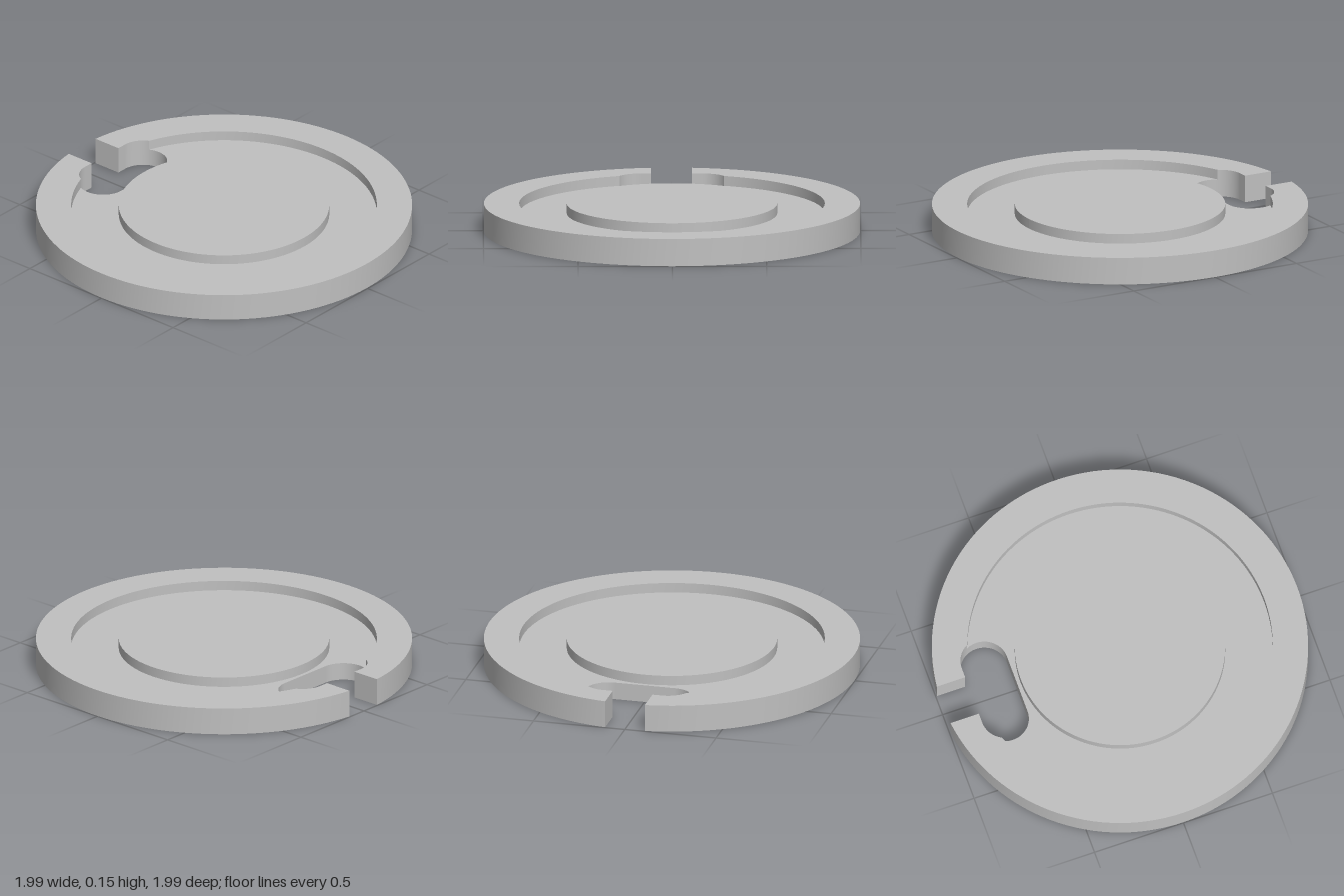
import * as THREE from 'three';

const TOP = 0.147, FLOOR = 0.094;          // rim height, recess floor height
const R = 0.997, RECESS = 0.81, ISLAND = 0.558;
const SLOT_IN = -0.5775, SLOT_OUT = -0.8316, CAP_Z = 0.163, GAP = 0.109;
const CAP_R = (SLOT_IN - SLOT_OUT) / 2, CAP_X = (SLOT_IN + SLOT_OUT) / 2;

const P = (x, y) => new THREE.Vector2(x, y);

function arc(cx, cy, r, a0, a1) {
  const n = Math.max(8, Math.ceil(Math.abs(a1 - a0) / (Math.PI * 2) * 128));
  return Array.from({ length: n + 1 }, (_, i) => {
    const a = a0 + (a1 - a0) * i / n;
    return P(cx + r * Math.cos(a), cy + r * Math.sin(a));
  });
}

// Join path pieces into one closed outline
const outline = (pieces) => new THREE.Shape(pieces.flatMap((p) => p.slice(0, -1)));

// Horizontal face at height y
function face(shape, y, down = false) {
  const g = new THREE.ShapeGeometry(shape);
  g.rotateX(down ? Math.PI / 2 : -Math.PI / 2);
  return g.translate(0, y, 0);
}

// Vertical wall along a path, facing to the right of its direction
function wall(points, y0, y1) {
  const pos = [], index = [];
  points.forEach((p, i) => {
    pos.push(p.x, y0, -p.y, p.x, y1, -p.y);
    if (i) {
      const a = 2 * i - 2, b = 2 * i;
      index.push(a, b, b + 1, a, b + 1, a + 1);
    }
  });
  const g = new THREE.BufferGeometry();
  g.setAttribute('position', new THREE.Float32BufferAttribute(pos, 3));
  g.setIndex(index);
  g.computeVertexNormals();
  return g;
}

export function createModel() {
  const model = new THREE.Group();
  model.name = 'slottedDisc';
  const grey = new THREE.MeshStandardMaterial({ color: 0xc0c0c0 });
  grey.name = 'grey';
  const add = (name, geometry) => {
    const m = new THREE.Mesh(geometry, grey);
    m.name = name;
    m.position.x = -0.003;
    model.add(m);
  };

  // Where the recess edge meets the rounded slot ends
  const d = Math.hypot(CAP_X, CAP_Z);
  const meet = Math.atan2(CAP_Z, CAP_X)
    - Math.acos((d * d + RECESS * RECESS - CAP_R * CAP_R) / (2 * d * RECESS));
  const t = Math.atan2(RECESS * Math.sin(meet) - CAP_Z, RECESS * Math.cos(meet) - CAP_X);
  const gapAngle = Math.PI - Math.asin(GAP / R);
  const gapX = R * Math.cos(gapAngle);

  // Path pieces, anticlockwise around the solid
  const outer = arc(0, 0, R, -gapAngle, gapAngle);
  const gapA = [P(gapX, GAP), P(SLOT_OUT, GAP)];
  const stepA = [P(SLOT_OUT, GAP), P(SLOT_OUT, CAP_Z)];
  const capOuterA = arc(CAP_X, CAP_Z, CAP_R, Math.PI, t);
  const capInnerA = arc(CAP_X, CAP_Z, CAP_R, t, 0);
  const slotSide = [P(SLOT_IN, CAP_Z), P(SLOT_IN, -CAP_Z)];
  const mirror = (p) => p.map((v) => P(v.x, -v.y)).reverse();
  const [gapB, stepB, capOuterB, capInnerB] = [gapA, stepA, capOuterA, capInnerA].map(mirror);
  const recess = arc(0, 0, RECESS, meet, -meet);
  const island = arc(0, 0, ISLAND, 0, Math.PI * 2);

  // Horizontal faces
  add('underside', face(outline([outer, gapA, stepA, capOuterA, capInnerA, slotSide,
    capInnerB, capOuterB, stepB, gapB]), 0, true));
  add('rimTop', face(outline([outer, gapA, stepA, capOuterA, recess,
    capOuterB, stepB, gapB]), TOP));
  const floor = outline([[...recess].reverse(), capInnerA, slotSide, capInnerB]);
  floor.holes.push(outline([island]));
  add('recessFloor', face(floor, FLOOR));
  add('centreTop', face(outline([island]), TOP));

  // Walls
  add('outerWall', wall(outer, 0, TOP));
  for (const p of [gapA, stepA, capOuterA, capOuterB, stepB, gapB]) add('slotWall', wall(p, 0, TOP));
  for (const p of [capInnerA, slotSide, capInnerB]) add('lowSlotWall', wall(p, 0, FLOOR));
  add('recessWall', wall(recess, FLOOR, TOP));
  add('centreWall', wall(island, FLOOR, TOP));
  return model;
}
